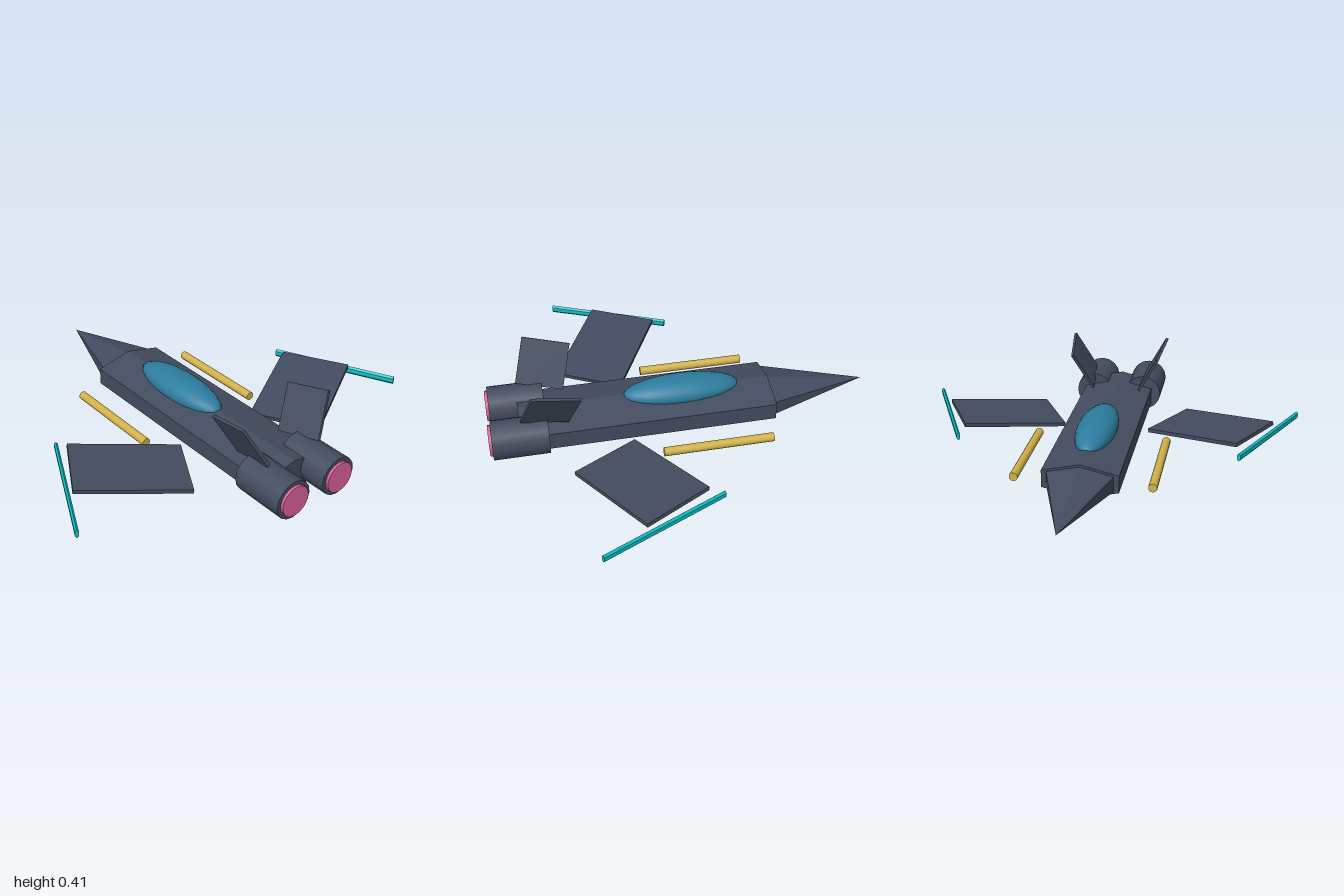
import * as THREE from 'three';

function paint(name, color) {
  const m = new THREE.MeshStandardMaterial({ color });
  m.name = name;
  return m;
}

// Cylinder or cone lying along z, its top end pointing to -z
function lying(rFront, rBack, length, sides, flat) {
  let g = new THREE.CylinderGeometry(rFront, rBack, length, sides);
  g.rotateX(-Math.PI / 2);
  if (flat) {
    g = g.toNonIndexed();
    g.computeVertexNormals();
  }
  return g;
}

// Flattened six-sided prism or cone with ridges at top and bottom
function hexBody(halfWidth, halfHeight, length, pointed) {
  const r = halfWidth / Math.cos(Math.PI / 6);
  const g = lying(pointed ? 0 : r, r, length, 6, false);
  g.scale(1, halfHeight / r, 1);
  const f = g.toNonIndexed();
  f.computeVertexNormals();
  return f;
}

export function createModel() {
  const hull = paint('slate hull', 0x434c5f);
  const glass = paint('blue glass', 0x2c7c9e);
  const teal = paint('bright teal', 0x0cc0c8);
  const gold = paint('gold', 0xd2b34a);
  const pink = paint('pink glow', 0xdc629a);

  const group = new THREE.Group();
  group.name = 'starfighter';
  const add = (name, geometry, material, x, y, z) => {
    const mesh = new THREE.Mesh(geometry, material);
    mesh.name = name;
    mesh.position.set(x, y, z);
    group.add(mesh);
    return mesh;
  };

  // Body
  add('fuselage', hexBody(0.185, 0.087, 1.27), hull, 0, 0.087, 0.179);
  add('nose', hexBody(0.16, 0.0755, 0.512, true), hull, 0, 0.087, -0.711);
  const dome = new THREE.SphereGeometry(1, 24, 16);
  dome.scale(0.1, 0.07, 0.295);
  add('canopy', dome, glass, 0, 0.164, -0.005);

  for (const s of [1, -1]) {
    const side = s > 0 ? 'left' : 'right';

    // Engines with glowing exhausts
    add(side + 'Engine', lying(0.097, 0.097, 0.273, 16), hull, s * 0.138, 0.104, 0.8165);
    add(side + 'Exhaust', lying(0.077, 0.077, 0.024, 16), pink, s * 0.138, 0.104, 0.955);

    // Cannon
    add(side + 'Cannon', lying(0.022, 0.022, 0.548, 10), gold, s * 0.335, 0.055, -0.126);

    // Swept wing, rising towards its tip
    const wing = add(side + 'Wing', new THREE.BoxGeometry(0.544, 0.02, 0.361), hull, s * 0.547, 0.087, 0.299);
    wing.rotation.set(0, s * 0.504, s * 0.125, 'YXZ');

    // Wingtip blade
    const blade = add(side + 'WingtipBlade', hexBody(0.009, 0.022, 0.66), teal, s * 0.852, 0.088, 0.24);
    blade.rotation.y = s * 0.434;

    // Canted tail fin
    const up = new THREE.Vector3(s * 0.107, 0.203, -0.06).normalize();
    const chord = new THREE.Vector3(s * 0.03, 0.057, 0.235);
    const across = new THREE.Vector3().crossVectors(up, chord).normalize();
    chord.crossVectors(across, up);
    const fin = add(side + 'TailFin', new THREE.BoxGeometry(0.015, 0.235, 0.24), hull, s * 0.194, 0.284, 0.663);
    fin.quaternion.setFromRotationMatrix(new THREE.Matrix4().makeBasis(across, up, chord));
  }
  return group;
}
